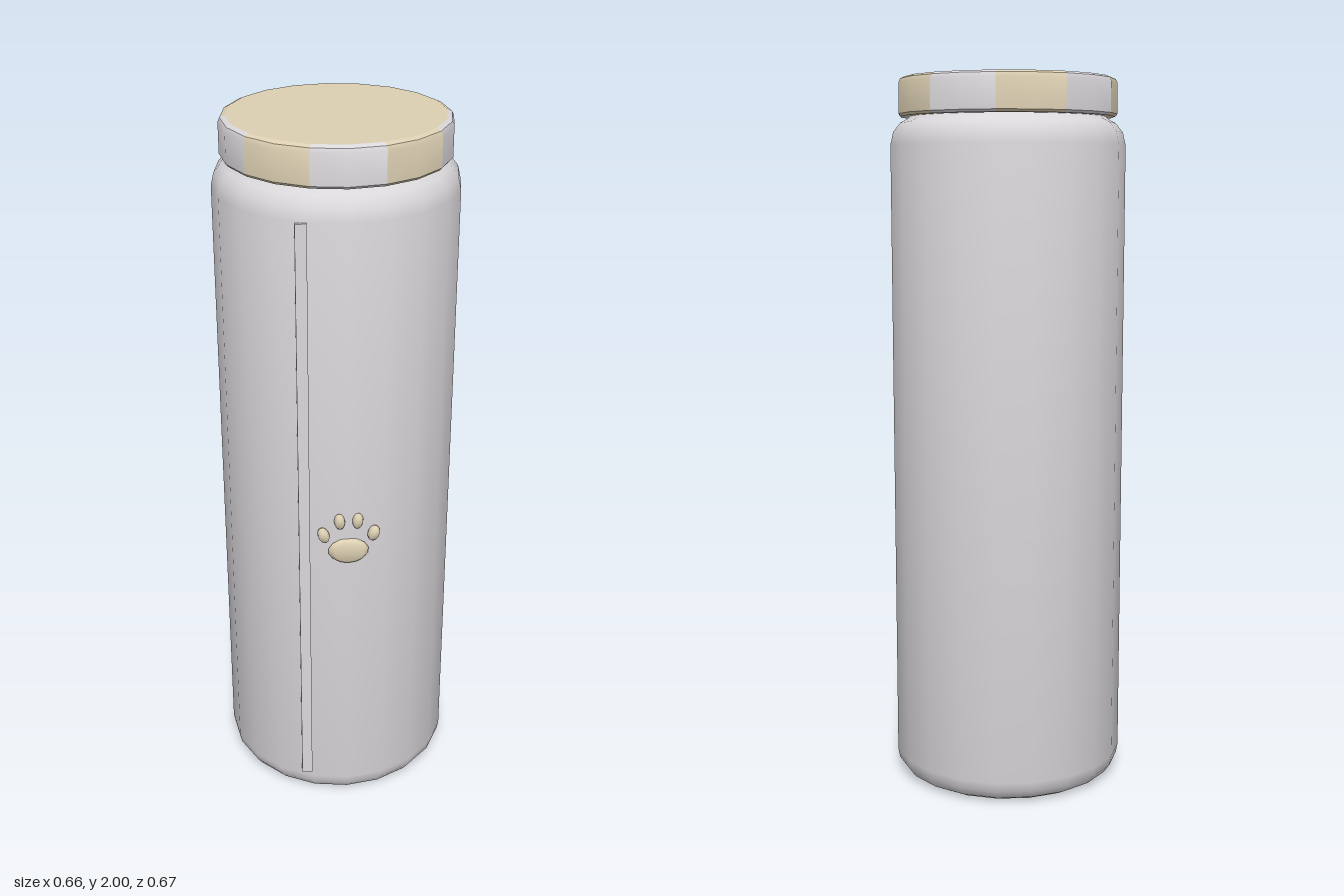
import * as THREE from 'three';
import { toCreasedNormals } from 'three/addons/utils/BufferGeometryUtils.js';

const SIDES = 20;
const AXIS_Z = -0.008;

const mat = (name, color, side = THREE.FrontSide) => {
  const m = new THREE.MeshStandardMaterial({ color, side });
  m.name = name;
  return m;
};

// Turned shape; edges sharper than the side angle stay crisp
function turned(profile, sides = SIDES, start = 0, length = Math.PI * 2) {
  const points = profile.map(([r, y]) => new THREE.Vector2(r, y));
  return toCreasedNormals(new THREE.LatheGeometry(points, sides, start, length), 0.62);
}

export function createModel() {
  const group = new THREE.Group();
  const silver = mat('silver', 0xdad7da);
  const cream = mat('cream', 0xdccfb2);

  const add = (name, geometry, material, parent = group) => {
    const mesh = new THREE.Mesh(geometry, material);
    mesh.name = name;
    parent.add(mesh);
    return mesh;
  };

  // Can body with rounded foot and shoulder
  const body = add('body', turned([
    [0, 0], [0.282, 0], [0.308, 0.014], [0.325, 0.038], [0.33, 0.065],
    [0.33, 1.815], [0.322, 1.85], [0.302, 1.875], [0.28, 1.887], [0.27, 1.9],
  ]), silver);
  body.position.z = AXIS_Z;

  // Lid: ten rim panels in alternating colours, and a flat cap
  const lid = new THREE.Group();
  lid.name = 'lid';
  lid.position.z = AXIS_Z;
  group.add(lid);
  const step = Math.PI / 5;
  for (let i = 0; i < 10; i++) {
    const panel = turned(
      [[0.265, 1.893], [0.3, 1.893], [0.306, 1.9], [0.306, 1.983], [0.301, 1.994], [0.288, 2]],
      2, (i - 0.5) * step, step);
    add('lidPanel', panel, i % 2 ? cream : silver, lid);
  }
  const cap = add('lidCap', new THREE.CircleGeometry(0.288, SIDES), cream, lid);
  cap.rotation.x = -Math.PI / 2;
  cap.position.y = 2;

  // Raised side seam
  const seam = add('seam', new THREE.BoxGeometry(0.03, 1.73, 0.01), silver);
  seam.position.set(-0.12, 0.95, 0.305);

  // Paw badge: bevelled oval buttons facing the front
  const paw = new THREE.Group();
  paw.name = 'pawBadge';
  group.add(paw);
  const button = (name, x, y, rx, ry, tilt) => {
    const geo = turned([[0, 0], [0.9, 0], [1, 0.007], [0.9, 0.016], [0.72, 0.02], [0, 0.02]], 14);
    geo.rotateX(Math.PI / 2);
    geo.scale(rx, ry, 1);
    const mesh = add(name, geo, cream, paw);
    mesh.position.set(x, y, 0.313);
    mesh.rotation.z = tilt;
  };
  button('pawPad', 0, 0.875, 0.056, 0.039, 0);
  for (const s of [-1, 1]) {
    button('innerToe', s * 0.025, 0.969, 0.015, 0.023, s * -0.1);
    button('outerToe', s * 0.069, 0.928, 0.016, 0.023, s * -0.35);
  }
  return group;
}
